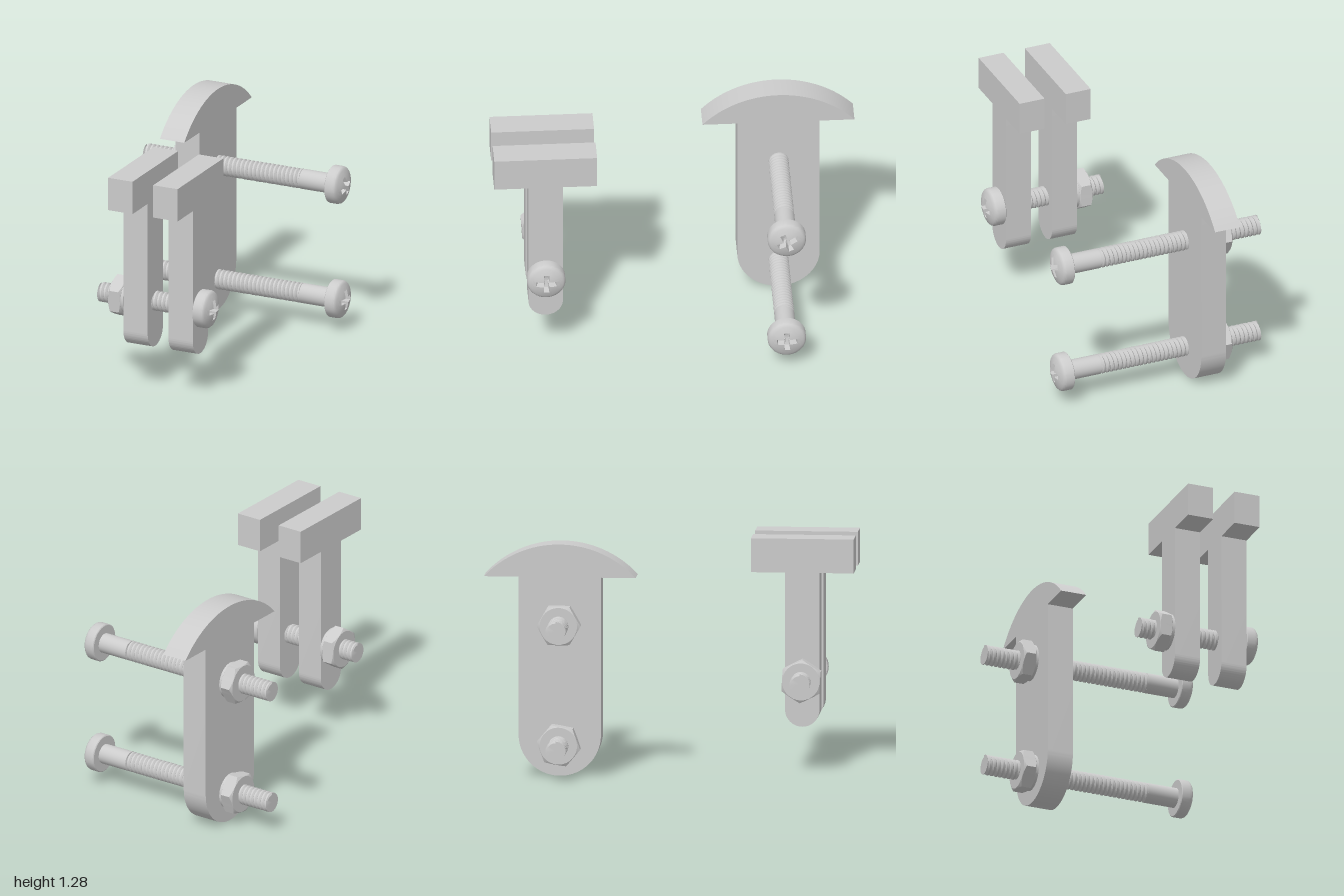
import * as THREE from 'three';
import { toCreasedNormals } from 'three/addons/utils/BufferGeometryUtils.js';

const material = new THREE.MeshStandardMaterial({ color: 0xcccccc });

// Skin of cross-sections along x; every ring maps (angle, index) to [x, radius]
function loft(rings, angles, crease = 0.6) {
  const pos = [];
  const at = (i, j) => {
    const [x, r] = rings[i](angles[j], j);
    return [x, r * Math.cos(angles[j]), r * Math.sin(angles[j])];
  };
  for (let i = 0; i < rings.length - 1; i++) {
    for (let j = 0; j < angles.length - 1; j++) {
      const a = at(i, j), b = at(i, j + 1), c = at(i + 1, j + 1), d = at(i + 1, j);
      if (rings[i](angles[j], j)[1] > 0) pos.push(...a, ...b, ...c);
      if (rings[i + 1](angles[j], j)[1] > 0) pos.push(...a, ...c, ...d);
    }
  }
  const g = new THREE.BufferGeometry();
  g.setAttribute('position', new THREE.Float32BufferAttribute(pos, 3));
  g.computeVertexNormals();
  return toCreasedNormals(g, crease);
}

const turn = (n) => Array.from({ length: n + 1 }, (_, i) => (i / n) * Math.PI * 2);
const round = (x, r) => () => [x, r];

function mesh(geometry, name) {
  const m = new THREE.Mesh(geometry, material);
  m.name = name;
  return m;
}

// Helical thread between x0 and x1
function threadGeometry(x0, x1) {
  const pitch = 0.025, rings = [round(x0, 0)];
  const profile = [[0, 0.046], [0.3, 0.055], [0.7, 0.055]];
  for (let k = -1; k * pitch < x1 - x0; k++) {
    for (const [f, r] of profile) {
      rings.push((t) => [
        THREE.MathUtils.clamp(x0 + (k + f + t / (Math.PI * 2)) * pitch, x0, x1), r]);
    }
  }
  rings.push(round(x1, 0.046), round(x1, 0));
  return loft(rings, turn(28), 0.4);
}

// Pan head with a domed face and a cross-shaped recess, starting at x = 0
function headGeometry() {
  const L = 0.055, w = 0.015, outline = [];
  const arm = [[L, -w], [L, w], [w, w]];
  for (let q = 0; q < 4; q++) {
    const c = Math.cos(q * Math.PI / 2), s = Math.sin(q * Math.PI / 2);
    for (const [y, z] of arm) outline.push([y * c - z * s, y * s + z * c]);
  }
  const angles = [], cross = [];
  outline.forEach(([y0, z0], i) => {
    const [y1, z1] = outline[(i + 1) % 12];
    for (let k = 0; k < 4; k++) {
      const y = y0 + (y1 - y0) * k / 4, z = z0 + (z1 - z0) * k / 4;
      let a = Math.atan2(z, y);
      if (angles.length && a < angles[angles.length - 1]) a += Math.PI * 2;
      angles.push(a);
      cross.push(Math.hypot(y, z));
    }
  });
  angles.push(angles[0] + Math.PI * 2);
  cross.push(cross[0]);

  const rim = 0.095;
  const dome = (r) => 0.066 + 0.024 * (1 - (r / rim) ** 2);
  const rings = [round(0, 0), round(0, 0.1), round(0.004, 0.105), round(0.05, 0.105),
    round(0.059, 0.102)];
  for (let k = 0; k <= 6; k++) {
    rings.push((t, j) => {
      const r = THREE.MathUtils.lerp(rim, cross[j], k / 6);
      return [dome(r), r];
    });
  }
  rings.push((t, j) => [0.04, cross[j] * 0.85], round(0.03, 0.012), round(0.03, 0));
  return loft(rings, angles);
}

// Hex nut with chamfered corners and a washer face at x = 0, extending to -x
function nutGeometry() {
  const flat = 0.104, sector = Math.PI / 3;
  const hex = (t) => flat / Math.cos((t % sector) - sector / 2);
  const chamfer = (t) => (hex(t) - flat) * 0.55;
  return loft([
    round(-0.09, 0), round(-0.09, flat - 0.002),
    (t) => [-0.088 + chamfer(t), hex(t)],
    (t) => [-0.017 - chamfer(t), hex(t)],
    round(-0.015, flat - 0.002), round(-0.015, 0.1), round(0, 0.1), round(0, 0),
  ], turn(48), 0.3);
}

function bolt(name, { tip, threadEnd, headX, nutX, y, z, nutTurn, headTurn }) {
  const g = new THREE.Group();
  g.name = name;
  g.position.set(0, y, z);
  g.add(mesh(threadGeometry(tip, threadEnd), 'thread'));
  if (headX > threadEnd) {
    g.add(mesh(loft([round(threadEnd, 0), round(threadEnd, 0.055), round(headX, 0.055)],
      turn(32)), 'shank'));
  }
  const head = mesh(headGeometry(), 'boltHead');
  head.position.x = headX;
  head.rotation.x = headTurn;
  const nut = mesh(nutGeometry(), 'nut');
  nut.position.x = nutX;
  nut.rotation.x = nutTurn;
  g.add(head, nut);
  return g;
}

// Plate with a round foot; the cap function draws the top from right to left
function plate(name, x, z, footY, half, cap) {
  const s = new THREE.Shape();
  s.moveTo(-half, footY + half);
  s.absarc(0, footY + half, half, Math.PI, Math.PI * 2, false);
  cap(s, half);
  s.closePath();
  const g = new THREE.ExtrudeGeometry(s, { depth: 0.148, bevelEnabled: false, curveSegments: 40 });
  g.rotateY(Math.PI / 2);
  const m = mesh(toCreasedNormals(g, 0.5), name);
  m.position.set(x, 0, z);
  return m;
}

function squareCap(s, half) {
  s.lineTo(half, 1.097);
  s.lineTo(0.281, 1.097);
  s.lineTo(0.281, 1.284);
  s.lineTo(-0.281, 1.284);
  s.lineTo(-0.281, 1.097);
  s.lineTo(-half, 1.097);
}

function archedCap(s, half) {
  const w = 0.415, base = 1.097, rise = 0.18;
  const R = (w * w + rise * rise) / (2 * rise), a = Math.asin(w / R);
  s.lineTo(half, base);
  s.lineTo(w, base);
  s.absarc(0, base + rise - R, R, Math.PI / 2 - a, Math.PI / 2 + a, false);
  s.lineTo(-half, base);
}

export function createModel() {
  const model = new THREE.Group();
  model.name = 'boltedClampPlates';

  // Pair of T-shaped plates at the front, arched plate at the back
  model.add(plate('innerTPlate', -0.061, 0.719, 0.248, 0.094, squareCap));
  model.add(plate('outerTPlate', 0.213, 0.719, 0.248, 0.094, squareCap));
  model.add(plate('archedPlate', -0.325, -0.585, 0.002, 0.225, archedCap));

  // Two long bolts through the arched plate, one short bolt through the pair
  const long = { tip: -0.608, threadEnd: 0.34, headX: 0.518, nutX: -0.325, z: -0.585 };
  model.add(bolt('upperLongBolt', { ...long, y: 0.839, nutTurn: Math.PI / 6, headTurn: 0.45 }));
  model.add(bolt('lowerLongBolt', { ...long, y: 0.179, nutTurn: -0.35, headTurn: 0.03 }));
  model.add(bolt('shortBolt', {
    tip: -0.24, threadEnd: 0.361, headX: 0.361, nutX: -0.061,
    y: 0.509, z: 0.719, nutTurn: 0.06, headTurn: 0,
  }));
  return model;
}
